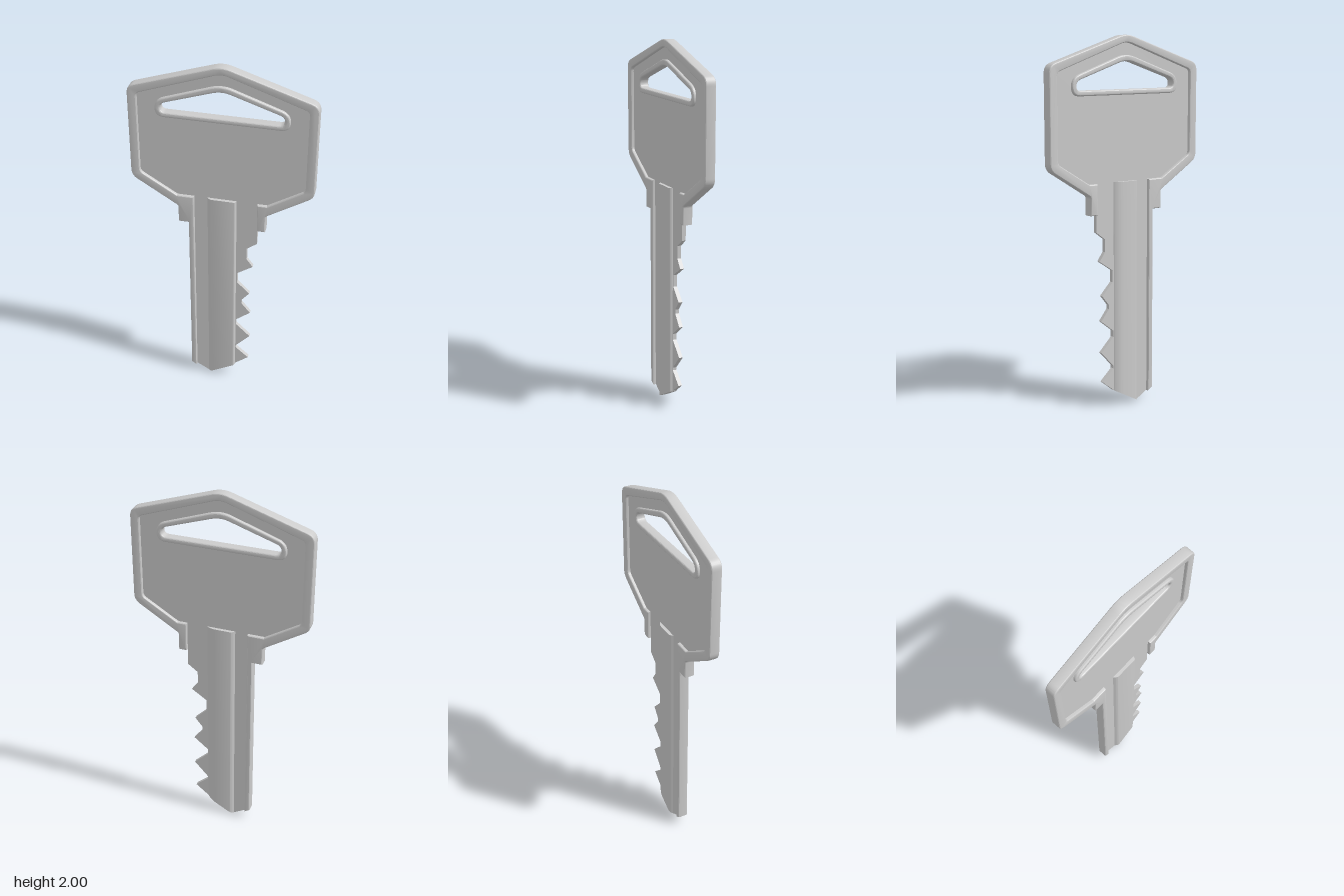
import * as THREE from 'three';
import { toCreasedNormals } from 'three/addons/utils/BufferGeometryUtils.js';

const THICK = 0.029; // half thickness of rim, spine and shoulders
const THIN = 0.011;  // half thickness of panel, grooves and teeth

// Closed outline from [x, y, cornerLength]; corners with a length are rounded
function outline(points, Type = THREE.Shape) {
  const path = new Type();
  const n = points.length;
  points.forEach(([x, y, r = 0], i) => {
    const p = new THREE.Vector2(x, y);
    const toward = ([qx, qy]) => {
      const d = new THREE.Vector2(qx - x, qy - y);
      return p.clone().add(d.setLength(Math.min(r, d.length() * 0.49)));
    };
    const a = r ? toward(points[(i + n - 1) % n]) : p;
    if (i === 0) path.moveTo(a.x, a.y);
    else path.lineTo(a.x, a.y);
    if (r) {
      const b = toward(points[(i + 1) % n]);
      path.quadraticCurveTo(x, y, b.x, b.y);
    }
  });
  path.closePath();
  return path;
}

// Right half (top to bottom) plus its mirror image, running clockwise
const mirrored = (half) => [
  ...half,
  ...half.filter((p) => p[0] !== 0).map(([x, y, r]) => [-x, y, r]).reverse(),
];

// Symmetric outline with a symmetric hole, which runs the opposite way round
function pierced(half, holeHalf) {
  const shape = outline(mirrored(half));
  shape.holes.push(outline(mirrored(holeHalf).reverse(), THREE.Path));
  return shape;
}

// Plate centred on z = 0, with edges softened inside the outline
function plate(name, shape, half, soft, material) {
  const geometry = new THREE.ExtrudeGeometry(shape, {
    depth: 2 * (half - soft),
    bevelEnabled: soft > 0,
    bevelThickness: soft,
    bevelSize: soft,
    bevelOffset: -soft,
    bevelSegments: 4,
    curveSegments: 8,
  });
  geometry.translate(0, 0, soft - half);
  const mesh = new THREE.Mesh(toCreasedNormals(geometry, 0.3), material);
  mesh.name = name;
  return mesh;
}

// Spine: a cross-section run up the blade, its lower end cut on a slant
function spine(material) {
  const section = outline([
    [-0.08, -0.01], [-0.063, -THICK, 0.012], [0.072, -THICK, 0.008],
    [0.078, -0.01], [0.078, 0.012, 0.006], [0.045, THICK, 0.02],
    [-0.063, THICK, 0.012], [-0.08, 0.01],
  ]);
  const geometry = new THREE.ExtrudeGeometry(section, {
    depth: 1, bevelEnabled: false, curveSegments: 6,
  });
  geometry.rotateX(-Math.PI / 2);
  const pos = geometry.attributes.position;
  for (let i = 0; i < pos.count; i++) {
    pos.setY(i, pos.getY(i) > 0.5 ? 1.235 : 0.55 * (pos.getX(i) + 0.08));
  }
  const mesh = new THREE.Mesh(toCreasedNormals(geometry, 0.4), material);
  mesh.name = 'bladeSpine';
  return mesh;
}

export function createModel() {
  const key = new THREE.Group();
  key.name = 'key';
  const metal = new THREE.MeshStandardMaterial({ color: 0xcccccc });

  // Thin panel filling the head, with the hanging hole
  key.add(plate('headPanel', pierced(
    [[0, 1.98], [0.455, 1.825], [0.455, 1.345], [0.215, 1.18], [0.215, 1.1]],
    [[0, 1.885, 0.05], [0.33, 1.772, 0.04], [0.33, 1.707, 0.04]],
  ), THIN, 0, metal));

  // Thin blade with the cut teeth
  key.add(plate('toothedBlade', outline([
    [-0.17, 1.12], [-0.17, 0.07], [-0.155, 0.045], [-0.08, 0.002],
    [0.08, 0.09], [0.153, 0.148], [0.08, 0.212], [0.08, 0.227],
    [0.16, 0.313], [0.08, 0.39], [0.08, 0.424], [0.16, 0.488],
    [0.11, 0.55], [0.11, 0.573], [0.153, 0.626], [0.085, 0.695],
    [0.085, 0.76], [0.17, 0.817], [0.135, 0.865], [0.135, 0.935],
    [0.19, 0.976], [0.19, 1.12],
  ]), THIN, 0, metal));

  // Thick head rim, running into both shoulders and the back edge of the blade
  key.add(plate('rimAndBackEdge', outline([
    [0.19, 1.07], [0.235, 1.07], [0.235, 1.17, 0.01],
    [0.485, 1.325, 0.035], [0.485, 1.85, 0.04], [0, 2.008, 0.05],
    [-0.485, 1.85, 0.04], [-0.485, 1.325, 0.035],
    [-0.235, 1.17, 0.01], [-0.235, 1.07], [-0.18, 1.07],
    [-0.18, 0.058], [-0.15, 0.04],
    [-0.15, 1.235], [-0.24, 1.235],
    [-0.437, 1.355, 0.02], [-0.437, 1.815, 0.02], [0, 1.967, 0.04],
    [0.437, 1.815, 0.02], [0.437, 1.355, 0.02],
    [0.24, 1.235], [0.19, 1.235],
  ]), THICK, 0.008, metal));

  key.add(spine(metal));

  // Raised bead around the hanging hole
  key.add(plate('holeBead', pierced(
    [[0, 1.907, 0.06], [0.345, 1.787, 0.05], [0.345, 1.692, 0.05]],
    [[0, 1.873, 0.05], [0.317, 1.768, 0.03], [0.317, 1.72, 0.03]],
  ), THICK - 0.002, 0.01, metal));

  return key;
}
